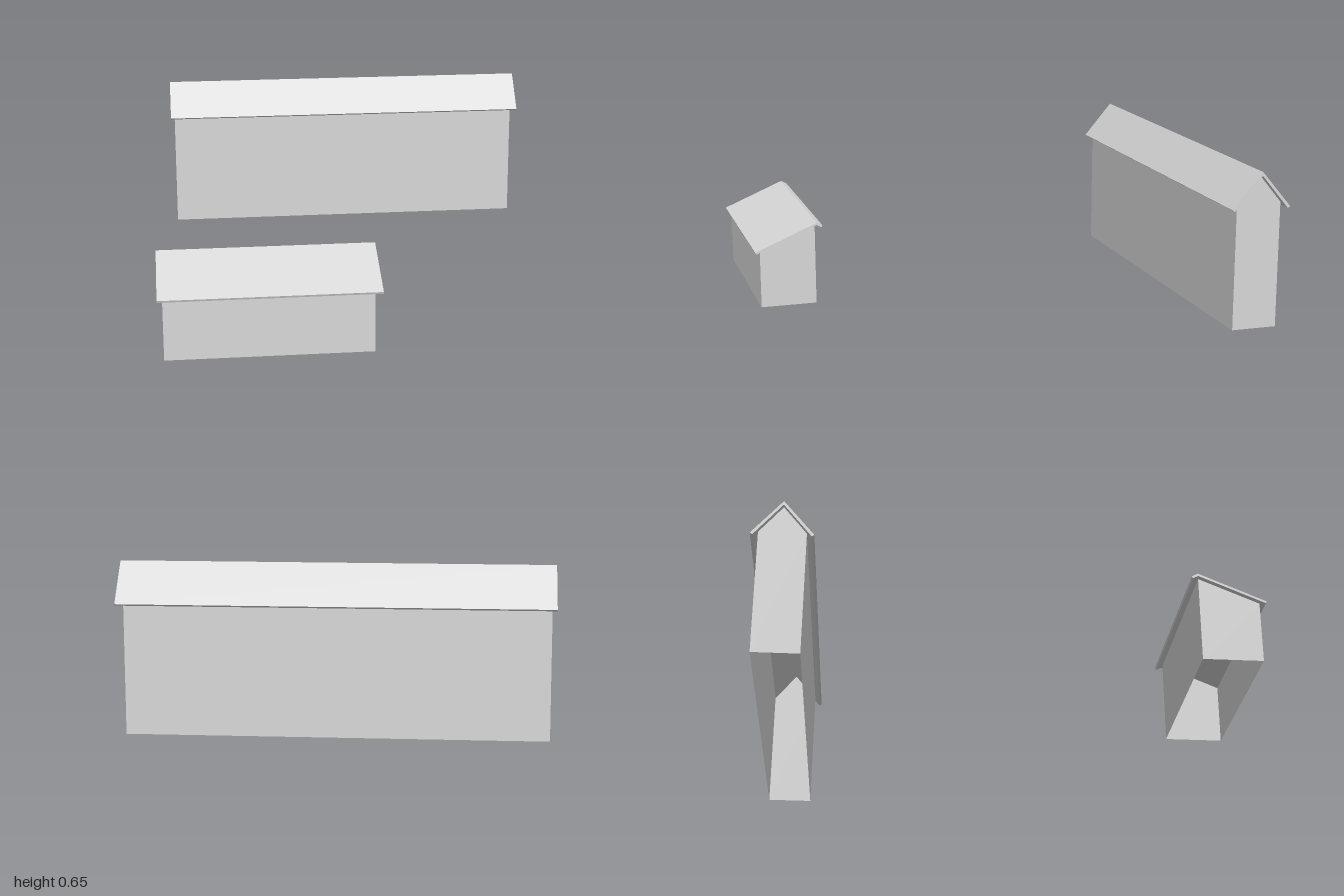
import * as THREE from 'three';

// Sweeps a [z, y] profile along x from x0 to x1.
function sweep(profile, x0, x1) {
  const shape = new THREE.Shape(profile.map(([z, y]) => new THREE.Vector2(-z, y)));
  const geo = new THREE.ExtrudeGeometry(shape, { depth: x1 - x0, bevelEnabled: false });
  geo.rotateY(Math.PI / 2);
  geo.translate(x0, 0, 0);
  return geo;
}

// Drops the triangles lying on the ground, leaving a shell open underneath.
function openBottom(geo) {
  const src = geo.index ? geo.toNonIndexed() : geo;
  const p = src.attributes.position.array;
  const kept = [];
  for (let i = 0; i < p.length; i += 9) {
    const onGround = [1, 4, 7].every((k) => Math.abs(p[i + k]) < 1e-5);
    if (!onGround) for (let k = 0; k < 9; k++) kept.push(p[i + k]);
  }
  const out = new THREE.BufferGeometry();
  out.setAttribute('position', new THREE.Float32BufferAttribute(kept, 3));
  out.computeVertexNormals();
  return out;
}

export function createModel() {
  const paleGrey = new THREE.MeshStandardMaterial({ color: 0xd8d8d8, side: THREE.DoubleSide });
  paleGrey.name = 'paleGrey';

  const model = new THREE.Group();
  model.name = 'buildings';
  const add = (parent, name, geo) => {
    const mesh = new THREE.Mesh(geo, paleGrey);
    mesh.name = name;
    parent.add(mesh);
    return mesh;
  };

  // Long hall with a steep gable roof
  const hall = new THREE.Group();
  hall.name = 'longHall';
  model.add(hall);
  add(hall, 'hallWalls', openBottom(sweep(
    [[-0.78, 0], [-0.78, 0.519], [-0.875, 0.634], [-0.97, 0.519], [-0.97, 0]], -0.77, 0.83)));
  add(hall, 'hallRoof', sweep(
    [[-0.75, 0.505], [-0.875, 0.652], [-1, 0.505], [-0.99, 0.498], [-0.875, 0.636], [-0.76, 0.498]],
    -0.787, 0.857));

  // Small shed with a gentle front slope and a short lip at the back
  const shed = new THREE.Group();
  shed.name = 'smallShed';
  model.add(shed);
  add(shed, 'shedWalls', openBottom(sweep(
    [[0.977, 0], [0.977, 0.245], [0.742, 0.343], [0.742, 0]], -0.842, -0.045)));
  add(shed, 'shedRoof', sweep(
    [[1, 0.246], [0.738, 0.356], [0.714, 0.344], [0.718, 0.335], [0.738, 0.346], [0.997, 0.238]],
    -0.862, -0.017));

  // Flat hanging panels under the front eave
  for (const x of [-0.693, -0.4]) {
    const panel = add(shed, 'frontPanel', new THREE.PlaneGeometry(0.083, 0.093));
    panel.position.set(x, 0.1965, 0.994);
  }

  return model;
}
